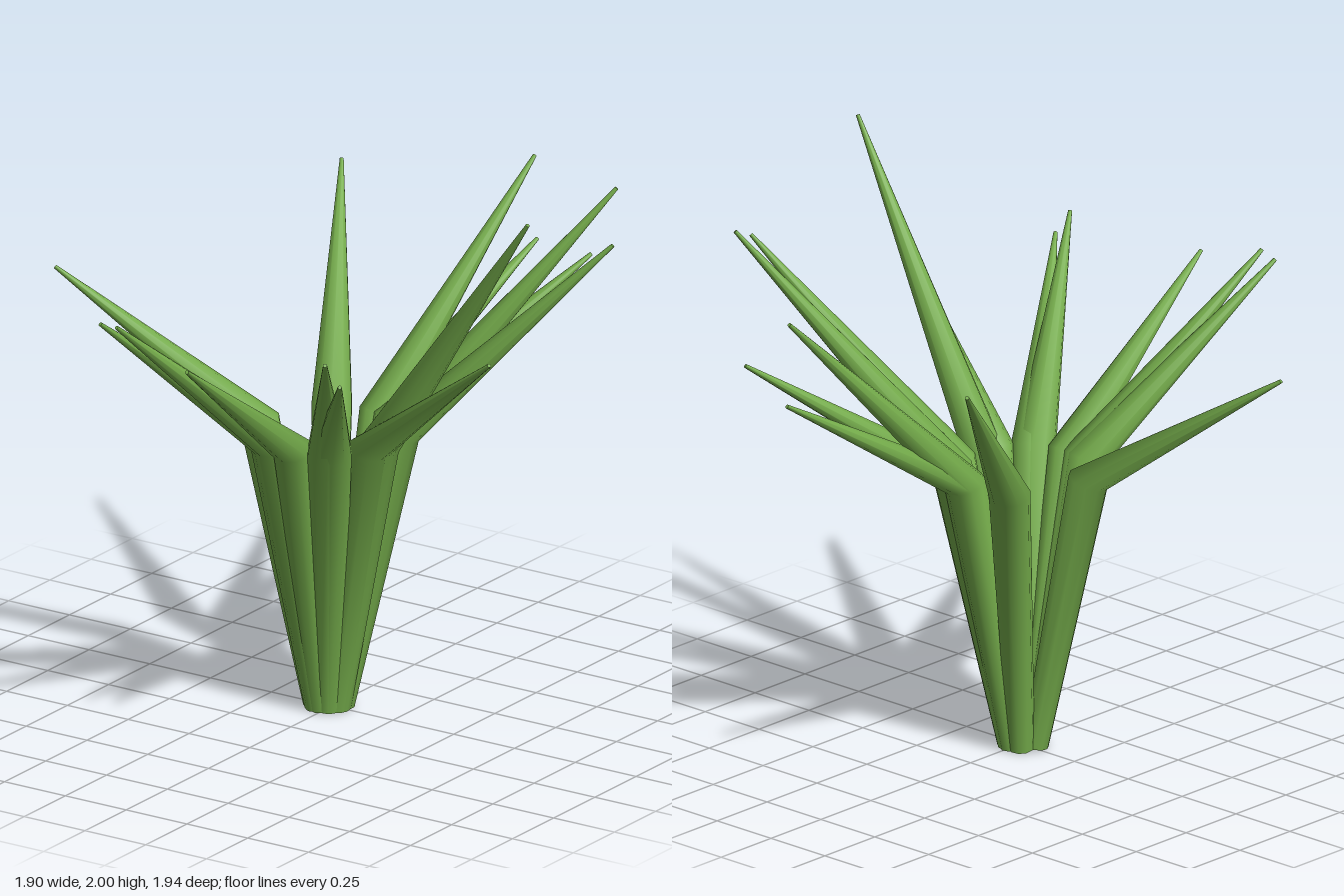
import * as THREE from 'three';

// blade tips: x, y, z
const TIPS = [
  [-0.53, 1.63, -0.84], [0.18, 1.75, -0.965], [0.19, 1.45, -0.965], [0.49, 1.49, -0.85],
  [0.75, 1.85, -0.62], [0.89, 1.74, -0.39], [0.94, 2.0, 0.2], [0.89, 1.53, 0.36],
  [0.56, 1.51, 0.78], [0.52, 1.59, 0.81], [0.06, 1.52, 0.97], [-0.25, 1.61, 0.94],
  [-0.33, 1.6, 0.92], [-0.95, 1.49, 0.28],
];
const ROOT = new THREE.Vector3(-0.015, 0, 0);
const SIDES = 10;

// A tapered stalk that leans out, bends at mid height and ends in a point
function bladeGeometry(tip) {
  const out = new THREE.Vector3(tip.x - ROOT.x, 0, tip.z - ROOT.z).normalize();
  const side = new THREE.Vector3(out.z, 0, -out.x);
  const at = (dist, y) => ROOT.clone().addScaledVector(out, dist).setY(y);
  const base = at(0.045, 0.016), bend = at(0.245, 1.01);
  const lean = Math.atan2(0.7, tip.y - 1.01);
  // centre, radius, tilt; repeated rings keep the end caps sharp
  const rings = [
    [base, 0, 0.2], [base, 0.046, 0.2], [base, 0.046, 0.2],
    [bend, 0.072, 0.36],
    [tip, 0.007, lean], [tip, 0.007, lean], [tip, 0, lean],
  ];
  const pos = [], index = [];
  rings.forEach(([c, r, tilt], k) => {
    const u = out.clone().multiplyScalar(Math.cos(tilt));
    u.y = -Math.sin(tilt);
    for (let i = 0; i < SIDES; i++) {
      const a = (i / SIDES) * Math.PI * 2;
      const p = c.clone().addScaledVector(u, r * Math.cos(a)).addScaledVector(side, r * Math.sin(a));
      pos.push(p.x, p.y, p.z);
      if (k === 0 || k === 2 || k === 5) {
        if (k !== 0) continue;
      }
    }
  });
  for (const k of [0, 2, 3, 5]) {
    for (let i = 0; i < SIDES; i++) {
      const j = (i + 1) % SIDES;
      const a = k * SIDES + i, b = k * SIDES + j, c = a + SIDES, d = b + SIDES;
      if (k !== 0) index.push(a, b, d);
      if (k !== 5) index.push(a, d, c);
    }
  }
  const g = new THREE.BufferGeometry();
  g.setAttribute('position', new THREE.Float32BufferAttribute(pos, 3));
  g.setIndex(index);
  g.computeVertexNormals();
  return g;
}

export function createModel() {
  const group = new THREE.Group();
  group.name = 'grassTuft';
  const green = new THREE.MeshStandardMaterial({ color: 0x76ae4c });
  green.name = 'leafGreen';
  TIPS.forEach((t, i) => {
    const blade = new THREE.Mesh(bladeGeometry(new THREE.Vector3(...t)), green);
    blade.name = `blade${i + 1}`;
    group.add(blade);
  });
  return group;
}
